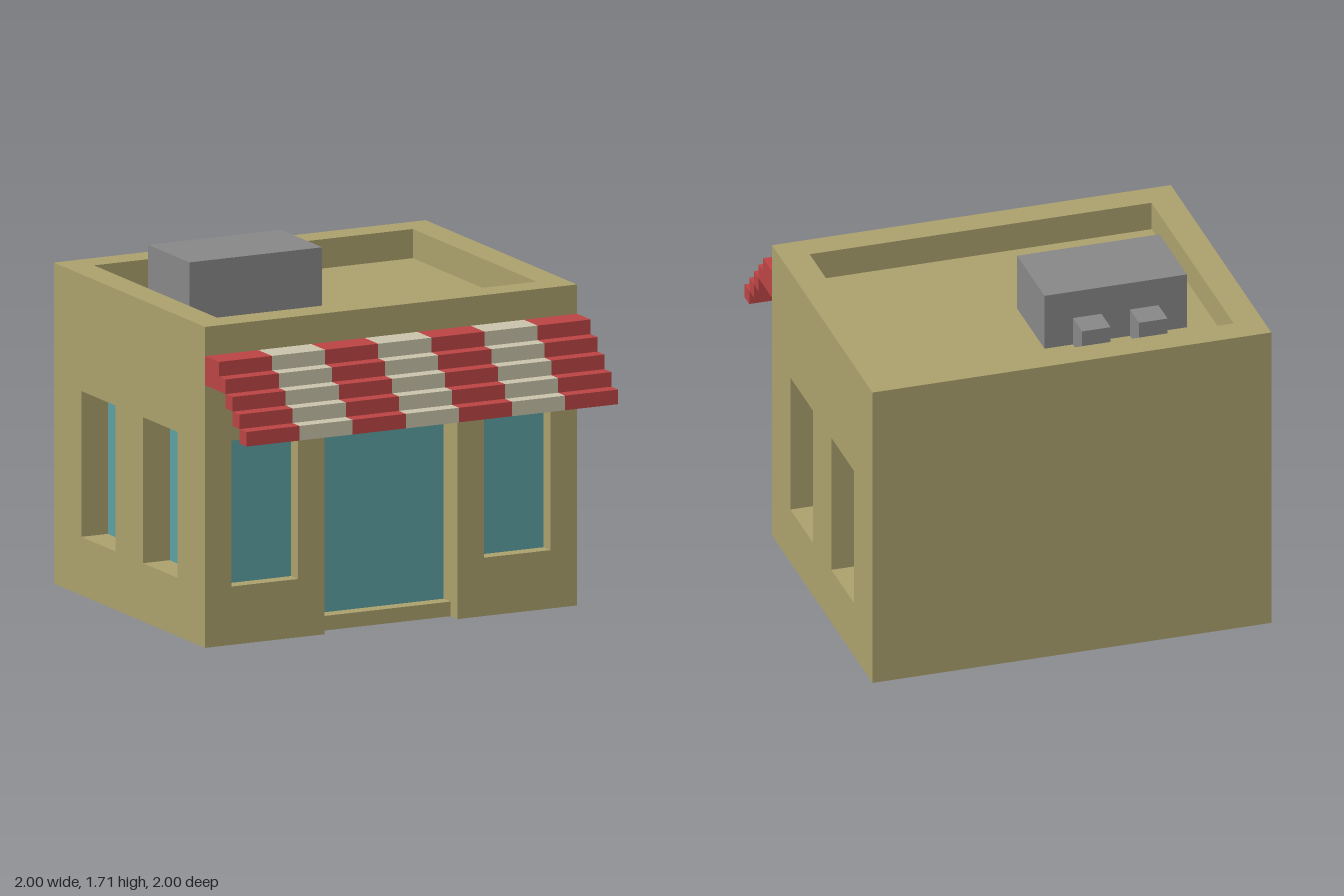
import * as THREE from 'three';

// One building block: the model is 28 blocks wide
const U = 1 / 14;

const mat = (name, color) => {
  const m = new THREE.MeshStandardMaterial({ color });
  m.name = name;
  return m;
};

export function createModel() {
  const root = new THREE.Group();
  root.name = 'shop';
  const wall = mat('sand wall', 0xaa9f6c);
  const glass = mat('teal glass', 0x5b9fa1);
  const red = mat('awning red', 0xba4444);
  const cream = mat('awning cream', 0xc8c1a9);
  const grey = mat('machine grey', 0x868686);

  const add = (name, geometry, material, parent = root) => {
    geometry.scale(U, U, U);
    const mesh = new THREE.Mesh(geometry, material);
    mesh.name = name;
    parent.add(mesh);
    return mesh;
  };

  // Box between two corners, in blocks
  const box = (name, material, [x0, y0, z0], [x1, y1, z1], parent) => {
    const g = new THREE.BoxGeometry(x1 - x0, y1 - y0, z1 - z0);
    g.translate((x0 + x1) / 2, (y0 + y1) / 2, (z0 + z1) / 2);
    return add(name, g, material, parent);
  };

  const polygon = (points, Type = THREE.Shape) =>
    new Type(points.map(([x, y]) => new THREE.Vector2(x, y)));

  // Window opening spanning a..b along a wall
  const SILL = 4, HEAD = 14;
  const opening = ([a, b]) =>
    polygon([[a, SILL], [a, HEAD], [b, HEAD], [b, SILL]], THREE.Path);

  // Front wall with doorway notch and two window openings
  const frontWindows = [[-12, -7], [7, 12]];
  const front = polygon([
    [-14, 0], [-5, 0], [-5, 16], [5, 16], [5, 0], [14, 0], [14, 22], [-14, 22],
  ]);
  front.holes = frontWindows.map(opening);
  const frontGeo = new THREE.ExtrudeGeometry(front, { depth: 2, bevelEnabled: false });
  add('frontWall', frontGeo.translate(0, 0, 6), wall);
  for (const [a, b] of frontWindows) {
    box('frontWindow', glass, [a, SILL, 6.95], [b, HEAD, 7]);
  }

  // Door glass and its raised step
  box('doorGlass', glass, [-5, 1, 5.95], [5, 16, 6]);
  box('doorStep', wall, [-5, 0, 6], [5, 1, 7]);

  // Side walls with deep window openings
  const sideWindows = [[-10, -5], [-1, 4]];
  for (const s of [-1, 1]) {
    const side = polygon([[-12, 0], [6, 0], [6, 22], [-12, 22]]);
    side.holes = sideWindows.map(opening);
    const g = new THREE.ExtrudeGeometry(side, { depth: 2, bevelEnabled: false });
    g.rotateY(-Math.PI / 2).translate(s > 0 ? 14 : -12, 0, 0);
    add(s > 0 ? 'leftWall' : 'rightWall', g, wall);
    for (const [a, b] of sideWindows) {
      const x = s > 0 ? 11.95 : -12;
      box('sideWindow', glass, [x, SILL, a], [x + 0.05, HEAD, b]);
    }
  }

  // Back wall, floor and sunken roof
  box('backWall', wall, [-14, 0, -14], [14, 22, -12]);
  box('floor', wall, [-12, 0, -12], [12, 1, 5.9]);
  box('roof', wall, [-12, 19, -12], [12, 20, 6]);

  // Rooftop machine with two ducts behind it
  const machine = new THREE.Group();
  machine.name = 'roofMachine';
  root.add(machine);
  box('machineBody', grey, [-10, 20, -8], [0, 24, -2], machine);
  for (const x of [-8, -4]) {
    box('machineDuct', grey, [x, 20, -10], [x + 2, 22, -8], machine);
  }

  // Stepped, striped awning: each row is bottom, back and front
  const awning = new THREE.Group();
  awning.name = 'awning';
  root.add(awning);
  const rows = [[15, 13, 14], [16, 12, 13], [17, 11, 12], [18, 8, 11], [19, 8, 10]];
  for (let i = 0; i < 7; i++) {
    const x = -14 + i * 4;
    for (const [y, z0, z1] of rows) {
      box('awningStripe', i % 2 ? cream : red, [x, y, z0], [x + 4, y + 1, z1], awning);
    }
  }

  return root;
}
